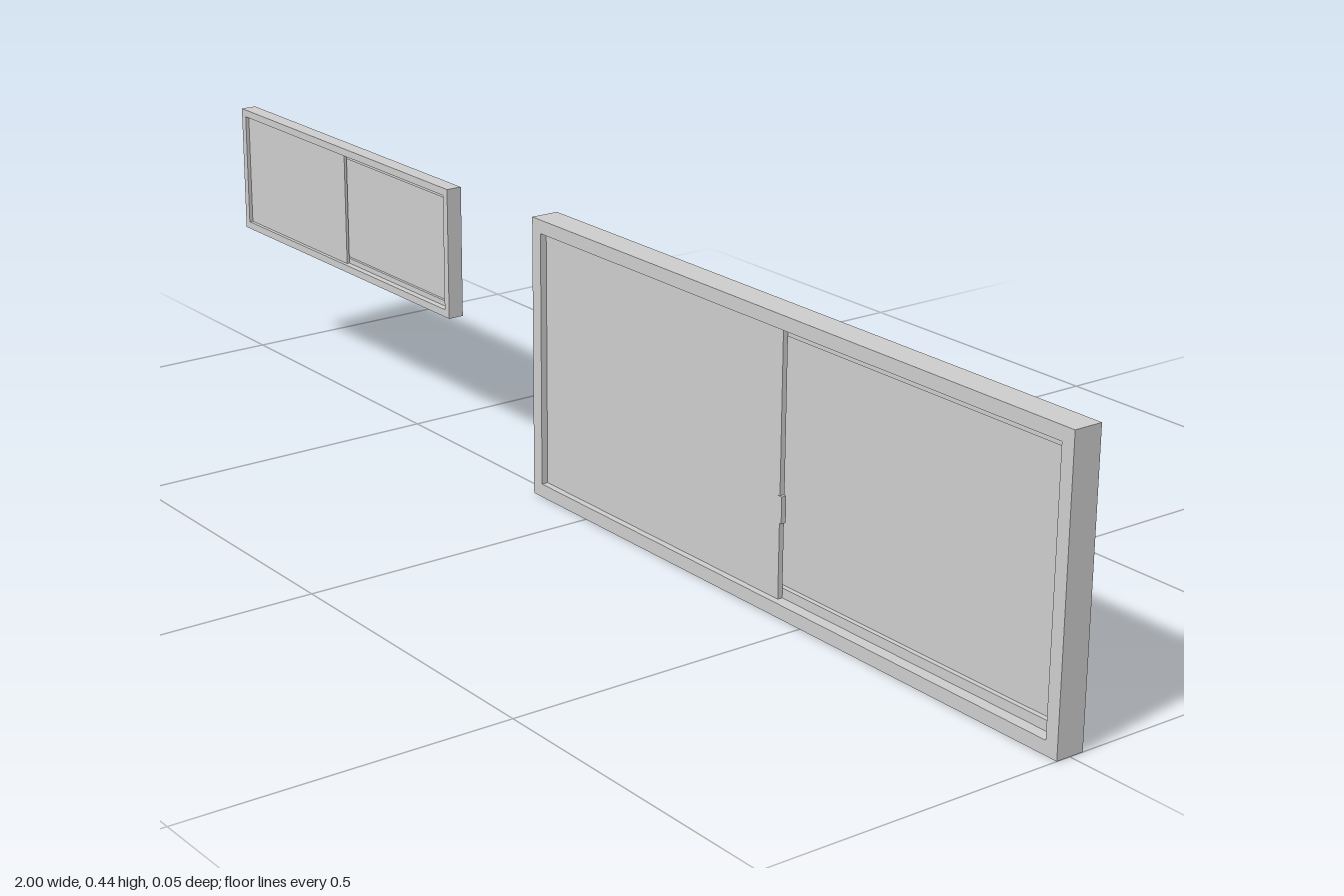
import * as THREE from 'three';

const material = new THREE.MeshStandardMaterial({ color: 0xcccccc, flatShading: true });

// Box given by its minimum and maximum on each axis
function box(name, [x0, x1], [y0, y1], [z0, z1]) {
  const mesh = new THREE.Mesh(new THREE.BoxGeometry(x1 - x0, y1 - y0, z1 - z0), material);
  mesh.name = name;
  mesh.position.set((x0 + x1) / 2, (y0 + y1) / 2, (z0 + z1) / 2);
  return mesh;
}

// Rectangular ring, w by h outside, with borders of sx and sy, centred on the origin
function ring(name, w, h, sx, sy, depth) {
  const rect = (Type, a, b) => new Type([[-a, -b], [a, -b], [a, b], [-a, b]]
    .map(([x, y]) => new THREE.Vector2(x, y)));
  const shape = rect(THREE.Shape, w / 2, h / 2);
  shape.holes.push(rect(THREE.Path, w / 2 - sx, h / 2 - sy));
  const geometry = new THREE.ExtrudeGeometry(shape, { depth, bevelEnabled: false });
  geometry.translate(0, 0, -depth / 2);
  const mesh = new THREE.Mesh(geometry, material);
  mesh.name = name;
  return mesh;
}

// Sliding window: outer frame, track ribs and two staggered panes; k scales borders and depth
function slidingWindow(name, w, h, k) {
  const group = new THREE.Group();
  group.name = name;
  const border = 0.021 * k, depth = 0.045 * k, rib = 0.004 * k, face = 0.012 * k;
  const ix = w / 2 - border, iy = h / 2 - border, overlap = 0.007 * k;
  group.add(ring('frame', w, h, border, border, depth));

  // Ribs separating the front and rear tracks
  for (const s of [-1, 1]) {
    const ys = [s * iy, s * (iy - 0.015 * k)].sort((a, b) => a - b);
    group.add(box(s > 0 ? 'topTrackRib' : 'bottomTrackRib', [-ix, ix], ys, [-rib, rib]));
  }

  // Panes overlapping slightly at the middle
  group.add(box('frontPane', [-ix, overlap], [-iy, iy], [rib, face]));
  group.add(box('rearPane', [-overlap, ix], [-iy, iy], [-face, -rib]));
  return group;
}

export function createModel() {
  const model = new THREE.Group();
  model.name = 'slidingWindows';

  const large = slidingWindow('largeWindow', 1.135, 0.44, 1);
  large.position.set(0.4325, 0.22, 0);
  // Small pull on the edge of the front pane
  large.add(box('pull', [0.004, 0.012], [-0.085, -0.045], [0.005, 0.013]));

  const small = slidingWindow('smallWindow', 0.635, 0.21, 0.57);
  small.position.set(-0.6825, 0.325, 0.0097);

  model.add(large, small);
  return model;
}
